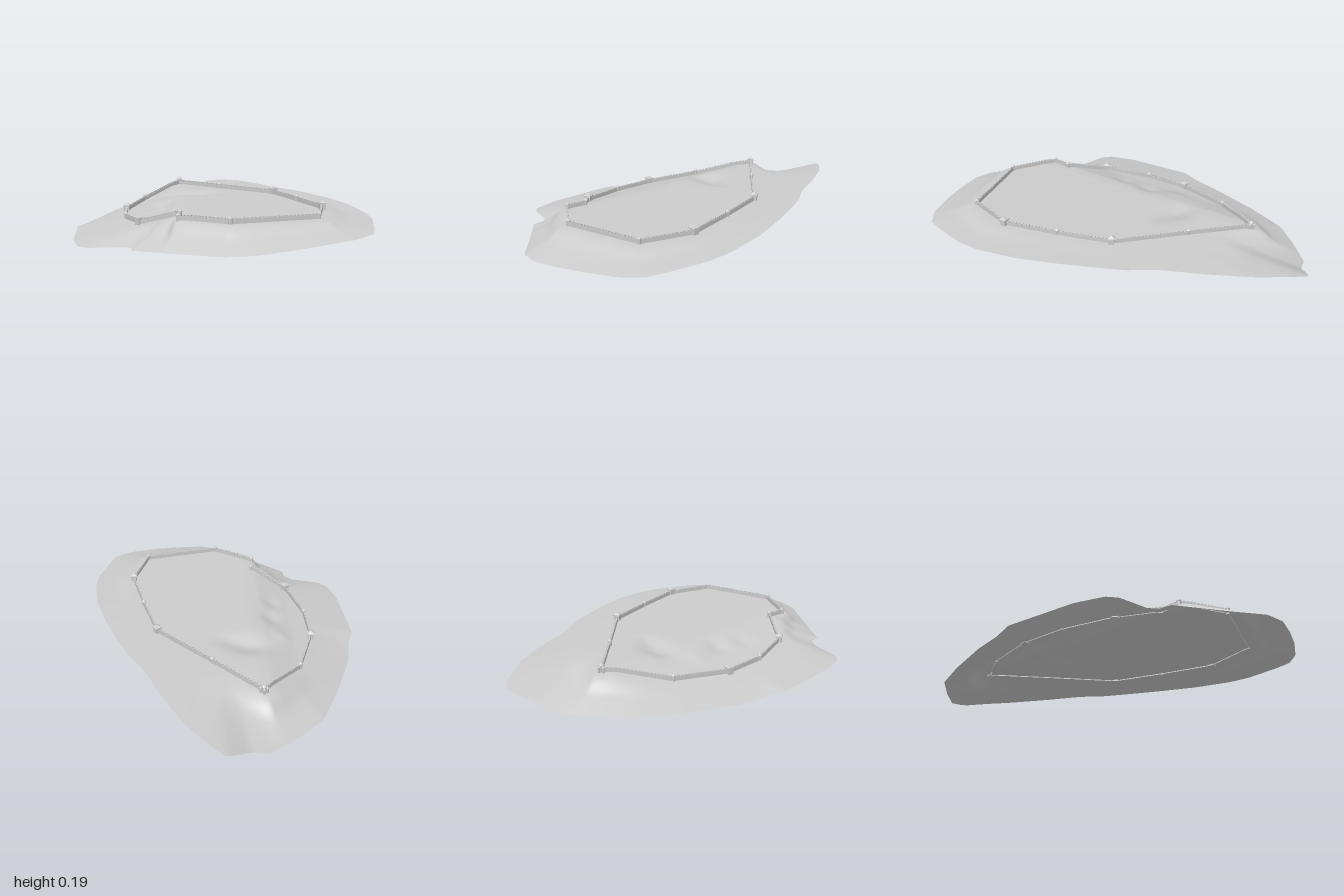
import * as THREE from 'three';
import { mergeGeometries, mergeVertices } from 'three/addons/utils/BufferGeometryUtils.js';

const CX = 0.05, CZ = 0.1;

// Outer edge of the land: x, z, height
const EDGE = [
  [0.02, -1, 0.11], [0.085, -0.95, 0.125], [0.2, -0.81, 0.138], [0.3, -0.62, 0.14], [0.39, -0.42, 0.14],
  [0.47, -0.3, 0.14], [0.53, -0.17, 0.14], [0.6, 0, 0.138], [0.665, 0.2, 0.132], [0.695, 0.41, 0.12],
  [0.69, 0.53, 0.113], [0.645, 0.71, 0.103], [0.615, 0.8, 0.098], [0.53, 0.87, 0.091], [0.375, 0.93, 0.08],
  [0.23, 0.97, 0.068], [0.095, 0.995, 0.058], [-0.02, 0.975, 0.049], [-0.18, 0.86, 0.036], [-0.4, 0.705, 0.022],
  [-0.4, 0.65, 0.022], [-0.445, 0.615, 0.018], [-0.6, 0.58, 0.01], [-0.645, 0.54, 0.008], [-0.68, 0.4, 0.01],
  [-0.7, 0.04, 0.011], [-0.665, -0.06, 0.005], [-0.635, -0.21, 0], [-0.53, -0.48, 0.012], [-0.435, -0.68, 0.02],
  [-0.31, -0.8, 0.027], [-0.18, -0.905, 0.037], [-0.085, -0.925, 0.06],
];

// Wall corners: x, z, tower kind (0 round turret, 1 square tower, 2 cluster)
const WALL = [
  [-0.165, -0.62, 2], [0.06, -0.39, 0], [0.33, -0.12, 1], [0.41, 0.145, 0], [0.48, 0.42, 1], [0.41, 0.67, 0],
  [0.015, 0.765, 0], [-0.2, 0.63, 0], [-0.19, 0.53, 0], [-0.375, 0.39, 1], [-0.45, 0.145, 0],
  [-0.455, -0.085, 1], [-0.365, -0.365, 0],
];

// Piecewise linear lookup in [position, value] pairs
function lookup(table, t) {
  if (t <= table[0][0]) return table[0][1];
  for (let i = 1; i < table.length; i++) {
    const [a, va] = table[i - 1], [b, vb] = table[i];
    if (t <= b) return va + (vb - va) * (t - a) / (b - a);
  }
  return table[table.length - 1][1];
}

const PLATEAU = [[-0.7, 0.012], [-0.46, 0.064], [-0.36, 0.083], [-0.21, 0.136], [-0.15, 0.142], [0.6, 0.145]];
const bump = (x, z, bx, bz, sx, sz) => Math.exp(-(((x - bx) / sx) ** 2) - ((z - bz) / sz) ** 2);

// Ground height inside the wall: plateau, western terrace and small valleys
function groundY(x, z) {
  return lookup(PLATEAU, x)
    - 0.028 * bump(x, z, -0.13, -0.24, 0.1, 0.07)
    - 0.012 * bump(x, z, -0.03, -0.2, 0.08, 0.04)
    - 0.016 * bump(x, z, -0.26, 0.04, 0.05, 0.06)
    - 0.012 * bump(x, z, -0.28, 0.2, 0.04, 0.05)
    + 0.008 * bump(x, z, -0.3, -0.12, 0.04, 0.05);
}

// Distance and height where a ray from the centre meets a closed outline
function castRay(outline, angle) {
  const dx = Math.cos(angle), dz = Math.sin(angle);
  for (let i = 0; i < outline.length; i++) {
    const a = outline[i], b = outline[(i + 1) % outline.length];
    const ax = a[0] - CX, az = a[1] - CZ, ex = b[0] - a[0], ez = b[1] - a[1];
    const det = dx * ez - dz * ex;
    if (Math.abs(det) < 1e-9) continue;
    const r = (ax * ez - az * ex) / det, s = (ax * dz - az * dx) / det;
    if (r > 0 && s >= -1e-6 && s <= 1.000001) return { r, y: a[2] + (b[2] - a[2]) * s };
  }
  return { r: 0.5, y: 0.1 };
}

// Terrain sheet in rings: inside the wall, then down the bank to the edge
function makeTerrain() {
  const SEG = 288, INNER = 26, OUTER = 14;
  const BANK = [[0, 1], [0.15, 0.96], [0.28, 0.85], [0.5, 0.46], [0.62, 0.34], [1, 0]];
  const GENTLE = [[0, 1], [1, 0]];
  const pos = [], index = [];
  for (let j = 0; j <= INNER + OUTER; j++) {
    for (let i = 0; i < SEG; i++) {
      const a = i / SEG * Math.PI * 2, c = Math.cos(a), s = Math.sin(a);
      const wall = castRay(WALL, a), edge = castRay(EDGE, a);
      const t = Math.max(0, (j - INNER) / OUTER);
      const r = j <= INNER ? wall.r * (0.002 + 0.998 * j / INNER) : wall.r + (edge.r - wall.r) * t;
      const x = CX + c * r, z = CZ + s * r;
      let y = groundY(x, z);
      if (j > INNER) {
        const top = groundY(CX + c * wall.r, CZ + s * wall.r);
        const west = THREE.MathUtils.smoothstep(-(CX + c * wall.r), 0.2, 0.4);
        const k = THREE.MathUtils.lerp(lookup(BANK, t), lookup(GENTLE, t), west);
        y = edge.y + (top - edge.y) * k;
      }
      pos.push(x, y, z);
      if (j > 0) {
        const n = (i + 1) % SEG, p = (j - 1) * SEG, q = j * SEG;
        index.push(p + i, p + n, q + i, p + n, q + n, q + i);
      }
    }
  }
  const geo = new THREE.BufferGeometry();
  geo.setAttribute('position', new THREE.Float32BufferAttribute(pos, 3));
  geo.setIndex(index);
  const smooth = mergeVertices(geo, 1e-5);
  smooth.computeVertexNormals();
  return smooth;
}

// Wall run between two corners, following the slope, with merlons on top
function makeWallRun(a, b) {
  const pa = new THREE.Vector3(a[0], groundY(a[0], a[1]), a[1]);
  const pb = new THREE.Vector3(b[0], groundY(b[0], b[1]), b[1]);
  const flat = Math.hypot(pb.x - pa.x, pb.z - pa.z);
  const yaw = -Math.atan2(pb.z - pa.z, pb.x - pa.x);
  const steps = Math.max(2, Math.round(flat / 0.018)), parts = [];
  for (let i = 0; i < steps; i++) {
    const p = pa.clone().lerp(pb, (i + 0.5) / steps);
    p.y = groundY(p.x, p.z);
    const slope = (pb.y - pa.y) / steps;
    const block = new THREE.BoxGeometry(flat / steps, 0.024, 0.009);
    // Shear each block so that the wall climbs smoothly
    const v = block.attributes.position;
    for (let k = 0; k < v.count; k++) v.setY(k, v.getY(k) + v.getX(k) * slope * steps / flat);
    const merlon = new THREE.BoxGeometry(flat / steps * 0.55, 0.005, 0.009).translate(0, 0.0145, 0);
    for (const g of [block, merlon]) parts.push(g.rotateY(yaw).translate(p.x, p.y + 0.007, p.z));
  }
  return mergeGeometries(parts);
}

export function createModel() {
  const model = new THREE.Group();
  const ground = new THREE.MeshStandardMaterial({ color: 0xcccccc, side: THREE.DoubleSide });
  const stone = new THREE.MeshStandardMaterial({ color: 0xcccccc, flatShading: true });
  const add = (parent, name, geo, mat) => {
    const mesh = new THREE.Mesh(geo, mat);
    mesh.name = name;
    parent.add(mesh);
    return mesh;
  };

  add(model, 'terrain', makeTerrain(), ground);
  WALL.forEach((a, i) => add(model, 'wallRun', makeWallRun(a, WALL[(i + 1) % WALL.length]), stone));

  // Tower: shaft, wider parapet and pointed roof
  function addTower(x, z, radius, height, sides, yaw) {
    const tower = new THREE.Group();
    tower.name = sides === 4 ? 'squareTower' : 'roundTurret';
    const turn = sides === 4 ? Math.PI / 4 : 0;
    const piece = (name, r0, r1, h, y) =>
      add(tower, name, new THREE.CylinderGeometry(r1, r0, h, sides).rotateY(turn).translate(0, y + h / 2, 0), stone);
    piece('shaft', radius, radius, height + 0.008, -0.008);
    piece('parapet', radius * 1.25, radius * 1.25, 0.005, height - 0.004);
    piece('roof', radius * 1.2, 0.0005, height * 0.4, height + 0.001);
    tower.position.set(x, groundY(x, z), z);
    tower.rotation.y = yaw;
    model.add(tower);
  }

  WALL.forEach(([x, z, kind], i) => {
    const prev = WALL[(i + WALL.length - 1) % WALL.length], next = WALL[(i + 1) % WALL.length];
    const yaw = -Math.atan2(next[1] - prev[1], next[0] - prev[0]);
    if (kind === 0) addTower(x, z, 0.0095, 0.024, 8, yaw);
    if (kind === 1) addTower(x, z, 0.021, 0.031, 4, yaw);
    if (kind === 2) {
      addTower(x, z, 0.011, 0.03, 8, 0);
      for (const [dx, dz] of [[-0.015, 0], [0.015, 0], [0, -0.015]]) addTower(x + dx, z + dz, 0.006, 0.022, 8, 0);
    }
  });
  return model;
}
